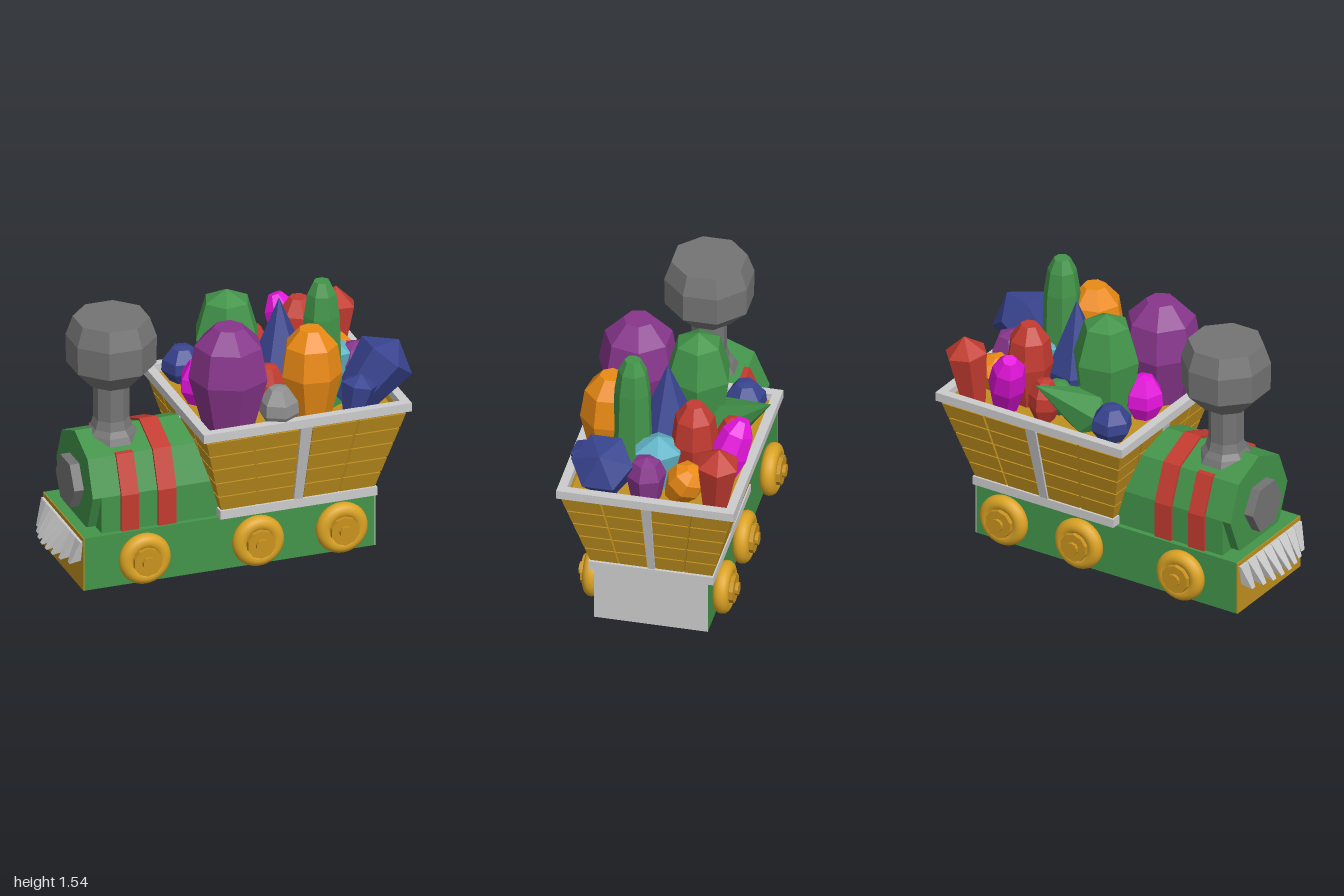
import * as THREE from 'three';
import { ConvexGeometry } from 'three/addons/geometries/ConvexGeometry.js';

const mat = (color, flatShading = true) => new THREE.MeshStandardMaterial({ color, flatShading });
const M = {
  grey: mat(0xcccccc), iron: mat(0x747474), green: mat(0x43944a), red: mat(0xc23b30),
  wood: mat(0xc0901f), gold: mat(0xdba324, false), hub: mat(0xc9921e),
  purple: mat(0x88368c), blue: mat(0x38448f), orange: mat(0xea8a14),
  magenta: mat(0xe414dc), cyan: mat(0x62b4c8), stone: mat(0x909090),
};
const V = (x, y, z) => new THREE.Vector3(x, y, z);

function add(parent, name, geo, material, x = 0, y = 0, z = 0) {
  const m = new THREE.Mesh(geo, material);
  m.name = name;
  m.position.set(x, y, z);
  parent.add(m);
  return m;
}
// Box from minimum and maximum extents, symmetric in z
function block(parent, name, material, x0, x1, y0, y1, hz) {
  return add(parent, name, new THREE.BoxGeometry(x1 - x0, y1 - y0, hz * 2), material, (x0 + x1) / 2, (y0 + y1) / 2, 0);
}
// Outline in (z, y) extruded along x
function extrudeX(points, x0, x1) {
  const shape = new THREE.Shape(points.map(([a, b]) => new THREE.Vector2(a, b)));
  const g = new THREE.ExtrudeGeometry(shape, { depth: x1 - x0, bevelEnabled: false });
  return g.rotateY(Math.PI / 2).translate(x0, 0, 0);
}
// Regular polygon outline with a corner on the z axis
const polygon = (n, r, y) => [...Array(n)].map((_, i) => {
  const a = i * 2 * Math.PI / n;
  return [r * Math.cos(a), y + r * Math.sin(a)];
});
function lathe(profile, sides, phase = 0) {
  return new THREE.LatheGeometry(profile.map(([r, y]) => new THREE.Vector2(r, y)), sides, phase);
}

function buildEngine(train) {
  // Chassis with end panels
  block(train, 'chassis', M.green, -0.88, 0.785, 0, 0.31, 0.315);
  block(train, 'rearPanel', M.grey, 0.785, 0.79, 0, 0.31, 0.315);
  block(train, 'frontPanel', M.wood, -0.885, -0.88, 0, 0.31, 0.315);

  // Octagonal boiler on a saddle
  add(train, 'boiler', extrudeX(polygon(8, 0.285, 0.52), -0.82, -0.1), M.green);
  block(train, 'boilerSaddle', M.green, -0.77, -0.1, 0.31, 0.52, 0.285);
  add(train, 'boilerDoor', extrudeX(polygon(6, 0.146, 0.515), -0.875, -0.8), M.iron);

  // Red bands; only the rear one crosses the top
  const side = [[0.3, 0.31], [0.3, 0.52], [0.213, 0.73]];
  const mirrored = side.map(([z, y]) => [-z, y]).reverse();
  add(train, 'frontBand', extrudeX([...side, ...mirrored], -0.66, -0.56), M.red);
  add(train, 'rearBand', extrudeX([...side, [0, 0.817], ...mirrored], -0.45, -0.345), M.red);

  // Chimney: flared foot, straight stack and wide bulb
  const k = 1 / Math.cos(Math.PI / 8);
  const profile = [[0.15, 0.74], [0.13, 0.78], [0.105, 0.81], [0.09, 0.86], [0.09, 1.07], [0.125, 1.07],
    [0.225, 1.18], [0.228, 1.34], [0.192, 1.45], [0, 1.45]].map(([r, y]) => [r * k, y]);
  add(train, 'chimney', lathe(profile, 8, Math.PI / 8), M.iron, -0.61);

  // Curved row of teeth at the front
  const n = 8, pitch = 0.61 / n;
  for (let i = 0; i < n; i++) {
    const z = (i - (n - 1) / 2) * pitch;
    const tipX = -1 + 0.07 * (z / 0.3) ** 2;
    const pts = [];
    for (const s of [-1, 1]) {
      const w = s * pitch * 0.48;
      pts.push(V(-0.88, 0.285, z + w), V(-0.9, 0.285, z + w), V(-0.88, 0.165, z + s * 0.01), V(tipX, 0.145, z * 0.92 + s * 0.016));
    }
    add(train, 'frontTooth', new ConvexGeometry(pts), M.grey);
  }

  // Wheels
  for (const s of [1, -1]) for (const x of [-0.55, 0.1, 0.58]) {
    const wheel = new THREE.Group();
    wheel.name = 'wheel';
    add(wheel, 'tyre', new THREE.TorusGeometry(0.103, 0.044, 14, 36), M.gold);
    const disc = (name, r, z0, z1) =>
      add(wheel, name, new THREE.CylinderGeometry(r, r, z1 - z0, 10).rotateX(Math.PI / 2), M.hub, 0, 0, (z0 + z1) / 2);
    disc('wheelDisc', 0.1, -0.05, 0.02);
    disc('hub', 0.082, 0, 0.062);
    disc('hubCap', 0.036, 0.05, 0.08);
    wheel.position.set(x, 0.16, s * 0.36);
    if (s < 0) wheel.rotation.y = Math.PI;
    train.add(wheel);
  }
}

function buildHopper(train) {
  const cx = 0.338, y0 = 0.36, y1 = 0.86;
  block(train, 'hopperSill', M.grey, -0.11, 0.79, 0.31, 0.36, 0.345);

  // Rim frame
  const rect = (S, a, b) => {
    const p = new S();
    p.moveTo(-a, -b); p.lineTo(a, -b); p.lineTo(a, b); p.lineTo(-a, b); p.closePath();
    return p;
  };
  const frame = rect(THREE.Shape, 0.597, 0.49);
  frame.holes.push(rect(THREE.Path, 0.545, 0.44));
  const rim = new THREE.ExtrudeGeometry(frame, { depth: 0.05, bevelEnabled: false }).rotateX(-Math.PI / 2);
  add(train, 'hopperRim', rim, M.grey, cx, 0.85);
  add(train, 'hopperFloor', new THREE.BoxGeometry(1.08, 0.03, 0.87), M.wood, cx, 0.815);

  // Sloping sides: backing, planks and a centre post
  const B = [0.44, 0.337], T = [0.578, 0.477];
  const gap = 0.006;
  for (let f = 0; f < 4; f++) {
    const along = f % 2, across = 1 - along;
    const sign = f < 2 ? 1 : -1;
    const dir = V(across, 0, -along).multiplyScalar(sign);
    const nrm = V(along, 0, across).multiplyScalar(sign);
    const point = (u, v, depth) => {
      const half = THREE.MathUtils.lerp(B[along], T[along], v);
      const dist = THREE.MathUtils.lerp(B[across], T[across], v);
      return V(cx, y0 + (y1 - y0) * v, 0)
        .addScaledVector(dir, (u * 2 - 1) * half * (dist - depth) / dist)
        .addScaledVector(nrm, dist - depth);
    };
    const slab = (name, material, u0, u1, v0, v1, d0, d1) => {
      const pts = [];
      for (const u of [u0, u1]) for (const v of [v0, v1]) for (const d of [d0, d1]) pts.push(point(u, v, d));
      add(train, name, new ConvexGeometry(pts), material);
    };
    slab('hopperWall', M.wood, 0, 1, 0, 1, 0.012, 0.035);
    slab('hopperPost', M.grey, 0.472, 0.528, 0, 1, -0.006, 0.02);
    const cols = [[0, 0.235], [0.235, 0.472], [0.528, 0.765], [0.765, 1]];
    for (let r = 0; r < 5; r++) for (const [a, b] of cols)
      slab('plank', M.wood, a + (a ? gap : 0), b - (b < 1 ? gap : 0), r * 0.19 + 0.008, (r + 1) * 0.19 - 0.008, 0, 0.014);
  }
}

// Gem cuts: [radius, height] fractions between the closed ends
const CUT = {
  dome: [[0.65, 0], [1, 0.5], [0.85, 0.82], [0.38, 1]],
  column: [[1.15, 0], [1, 0.72], [0.8, 0.9], [0.45, 1]],
  bud: [[0.75, 0], [1, 0.58], [0.68, 0.9]],
  point: [[0.6, 0], [1, 0.76]],
  spike: [[0.85, 0], [1, 0.3]],
  round: [[0.6, 0.08], [1, 0.38], [0.95, 0.65], [0.5, 0.95]],
};

function buildGems(root) {
  const load = new THREE.Group();
  load.name = 'gemLoad';
  const baseY = 0.83;
  let count = 0;
  // A gem grows from the floor at (x, z) up to height top; lean shifts its tip
  const gem = (color, cut, x, z, top, r, leanX = 0, leanZ = 0) => {
    const axis = V(leanX, top - baseY, leanZ), h = axis.length();
    const profile = [[0, 0], ...CUT[cut].map(([a, b]) => [a * r, b * h]), [0, h]];
    const sides = cut === 'dome' || cut === 'column' ? 7 : 6;
    const mesh = add(load, color + 'Gem', lathe(profile, sides, count++ * 0.7), M[color], x, baseY, z);
    mesh.quaternion.setFromUnitVectors(V(0, 1, 0), axis.normalize());
  };
  // Tall gems
  gem('purple', 'dome', -0.03, 0.28, 1.41, 0.22);
  gem('green', 'bud', 0.09, -0.08, 1.455, 0.19);
  gem('blue', 'spike', 0.35, 0.03, 1.41, 0.17);
  gem('orange', 'dome', 0.425, 0.325, 1.345, 0.17);
  gem('green', 'column', 0.54, 0.18, 1.545, 0.1);
  gem('red', 'dome', 0.53, -0.16, 1.3, 0.13);
  // Leaning gems
  gem('blue', 'point', 0.66, 0.28, 1.17, 0.17, 0.29, -0.01);
  gem('red', 'point', 0.78, -0.33, 1.23, 0.12, 0.04, -0.03);
  gem('magenta', 'dome', 0.6, -0.29, 1.21, 0.105, -0.11, -0.13);
  gem('green', 'spike', 0.07, -0.12, 1.17, 0.13, 0.19, -0.4);
  gem('orange', 'dome', 0.72, -0.1, 1.03, 0.11, 0.04, -0.11);
  gem('blue', 'point', 0.64, 0.4, 1.06, 0.1, 0.05, -0.01);
  // Small gems filling the gaps
  gem('stone', 'round', 0.21, 0.41, 1.075, 0.11);
  gem('magenta', 'round', -0.1, 0, 1.1, 0.11);
  gem('blue', 'round', -0.085, -0.3, 1.05, 0.115);
  gem('red', 'round', 0.33, -0.32, 1.1, 0.09);
  gem('cyan', 'point', 0.63, 0.02, 1.13, 0.14);
  gem('purple', 'bud', 0.78, 0.05, 1.09, 0.11);
  gem('red', 'round', 0.22, 0.22, 1.12, 0.1);
  gem('green', 'round', 0.33, -0.19, 1.02, 0.11);
  root.add(load);
}

export function createModel() {
  const root = new THREE.Group();
  root.name = 'gemTrain';
  const train = new THREE.Group();
  train.name = 'train';
  train.position.z = 0.023;
  buildEngine(train);
  buildHopper(train);
  root.add(train);
  buildGems(root);
  return root;
}
